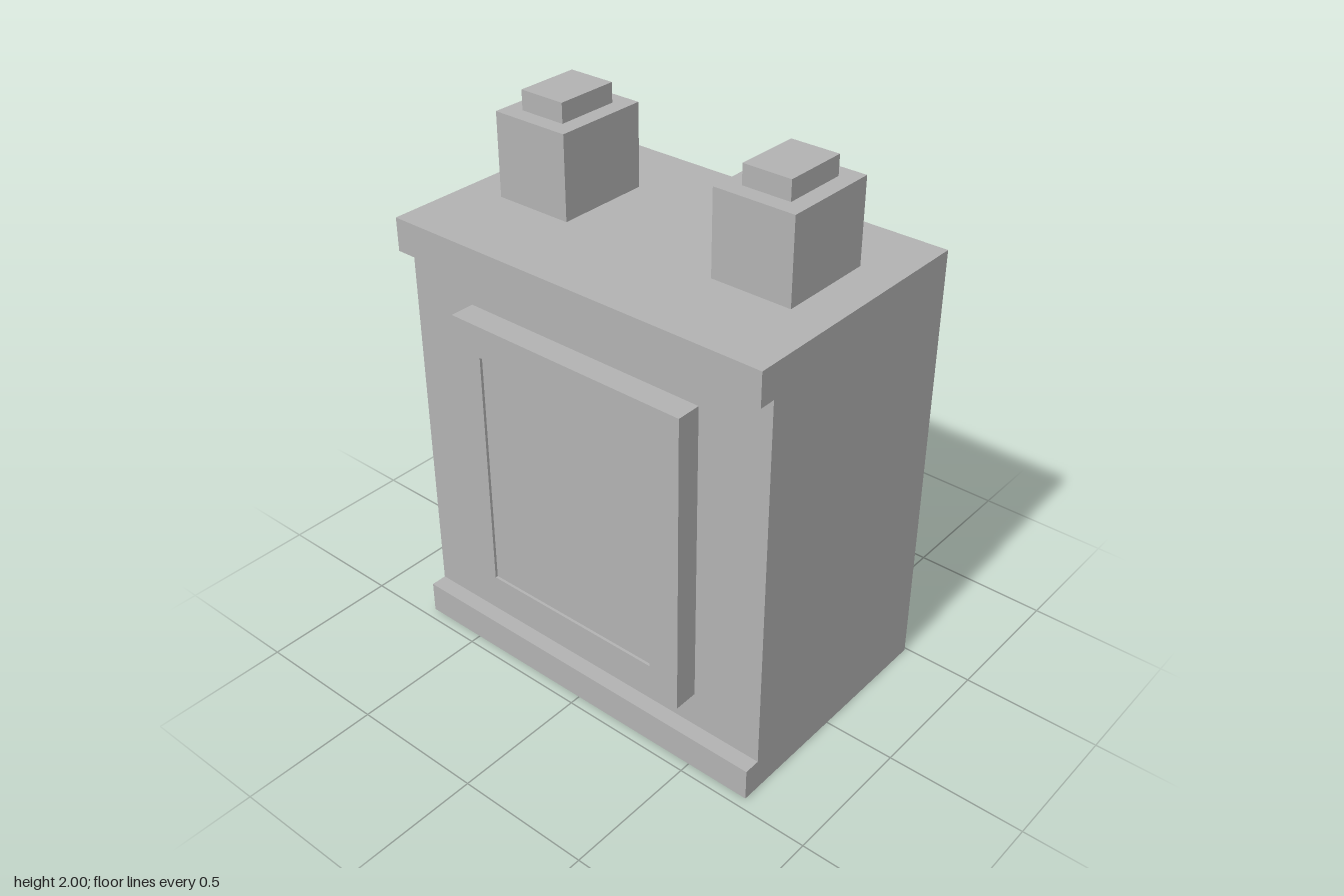
import * as THREE from 'three';

const grey = new THREE.MeshStandardMaterial({ color: 0xb2b2b2 });
grey.name = 'grey';

function add(parent, name, geometry) {
  const mesh = new THREE.Mesh(geometry, grey);
  mesh.name = name;
  parent.add(mesh);
  return mesh;
}

// Box given by its lowest and highest corners
function box(parent, name, [x0, y0, z0], [x1, y1, z1]) {
  const mesh = add(parent, name, new THREE.BoxGeometry(x1 - x0, y1 - y0, z1 - z0));
  mesh.position.set((x0 + x1) / 2, (y0 + y1) / 2, (z0 + z1) / 2);
  return mesh;
}

function rectPoints(halfW, y0, y1) {
  return [[-halfW, y0], [halfW, y0], [halfW, y1], [-halfW, y1]].map(([x, y]) => new THREE.Vector2(x, y));
}

export function createModel() {
  const model = new THREE.Group();
  model.name = 'batteryBox';

  // Case: side profile (z, y) with a front lip at top and bottom, swept across x
  const profile = [
    [-0.49, 0], [0.46, 0], [0.46, 0.12], [0.4, 0.12],
    [0.4, 1.51], [0.46, 1.51], [0.46, 1.63], [-0.49, 1.63],
  ].map(([z, y]) => new THREE.Vector2(z, y));
  const caseGeometry = new THREE.ExtrudeGeometry(new THREE.Shape(profile), { depth: 1.48, bevelEnabled: false });
  caseGeometry.rotateY(-Math.PI / 2).translate(0.74, 0, 0);
  add(model, 'case', caseGeometry);

  // Front panel: raised frame around a shallow recess
  const frame = new THREE.Shape(rectPoints(0.473, 0.255, 1.38));
  frame.holes.push(new THREE.Path(rectPoints(0.356, 0.37, 1.265).reverse()));
  const frameGeometry = new THREE.ExtrudeGeometry(frame, { depth: 0.09, bevelEnabled: false });
  add(model, 'panelFrame', frameGeometry.translate(0, 0, 0.4));
  box(model, 'panelRecess', [-0.356, 0.37, 0.4], [0.356, 1.265, 0.48]);

  // Two stepped terminals on the lid
  for (const [side, name] of [[1, 'leftTerminal'], [-1, 'rightTerminal']]) {
    const terminal = new THREE.Group();
    terminal.name = name;
    terminal.position.x = side * 0.445;
    box(terminal, 'post', [-0.148, 1.63, -0.225], [0.148, 1.93, 0.13]);
    box(terminal, 'cap', [-0.088, 1.93, -0.165], [0.088, 2, 0.07]);
    model.add(terminal);
  }
  return model;
}
